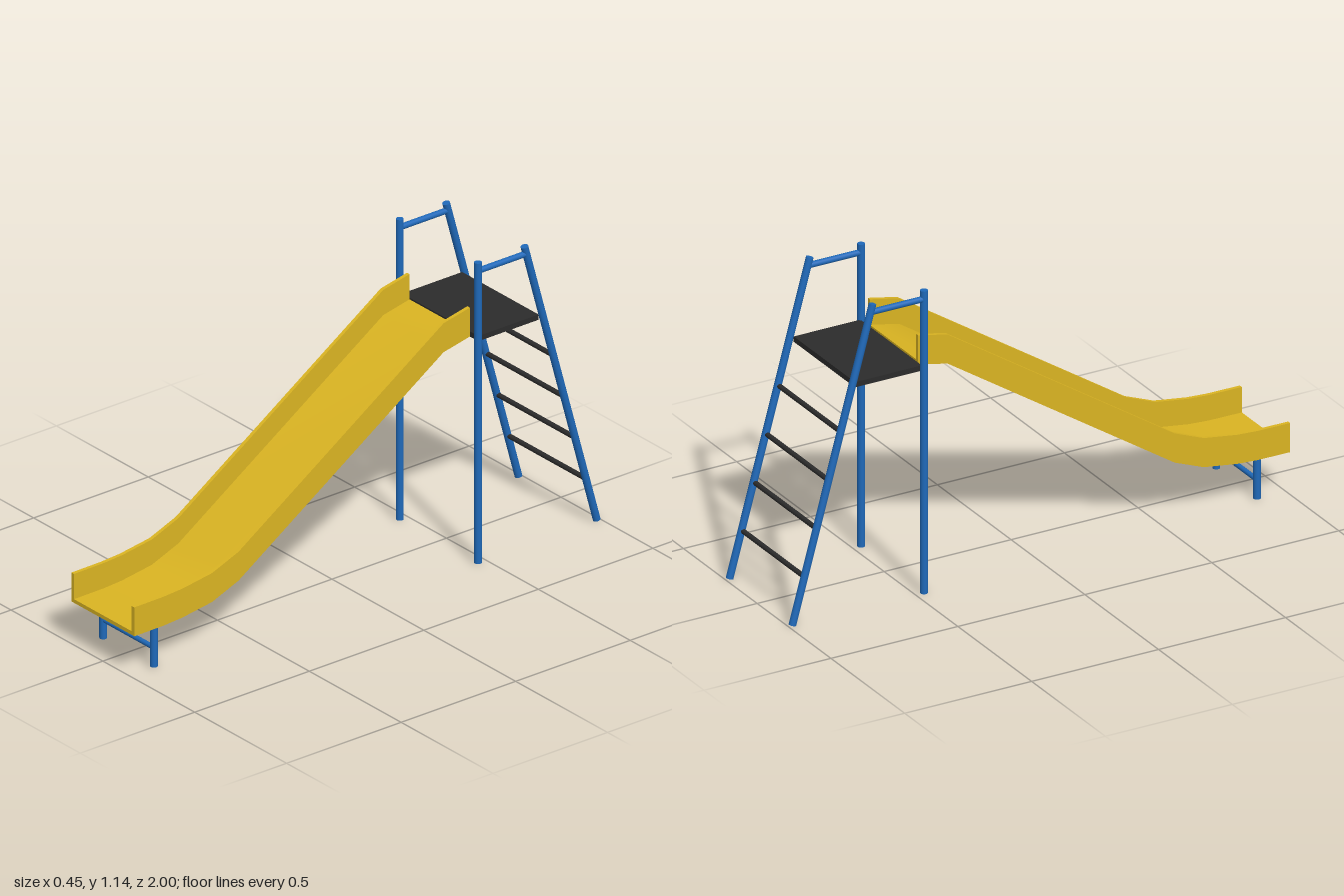
import * as THREE from 'three';
import { toCreasedNormals } from 'three/addons/utils/BufferGeometryUtils.js';

export function createModel() {
  const model = new THREE.Group();
  model.name = 'playgroundSlide';

  const material = (name, color) => {
    const m = new THREE.MeshStandardMaterial({ color });
    m.name = name;
    return m;
  };
  const yellow = material('yellowChute', 0xdab422);
  const blue = material('blueFrame', 0x1f69b9);
  const black = material('blackSteps', 0x2c2c2c);

  const add = (name, geometry, mat) => {
    const mesh = new THREE.Mesh(geometry, mat);
    mesh.name = name;
    model.add(mesh);
    return mesh;
  };

  // Round bar between two points
  const bar = (name, from, to, radius, mat) => {
    const a = new THREE.Vector3(...from);
    const b = new THREE.Vector3(...to);
    const dir = b.clone().sub(a);
    const mesh = add(name, new THREE.CylinderGeometry(radius, radius, dir.length(), 16), mat);
    mesh.position.copy(a).add(b).multiplyScalar(0.5);
    mesh.quaternion.setFromUnitVectors(new THREE.Vector3(0, 1, 0), dir.normalize());
  };

  // Underside of the chute as [z, y], from exit to platform
  const path = [
    [1, 0.16], [0.87, 0.161], [0.79, 0.166], [0.66, 0.185],
    [0.545, 0.23], [-0.35, 0.82], [-0.465, 0.844],
  ];
  // Strip of given height along the path, extruded across x
  const chuteStrip = (name, height, width, x) => {
    const upper = path.map(([z, y]) => [z, y + height]).reverse();
    const shape = new THREE.Shape([...path, ...upper].map(([z, y]) => new THREE.Vector2(z, y)));
    const geometry = new THREE.ExtrudeGeometry(shape, { depth: width, bevelEnabled: false });
    geometry.rotateY(-Math.PI / 2).translate(x + width / 2, 0, 0);
    add(name, toCreasedNormals(geometry, 0.5), yellow);
  };
  chuteStrip('chuteFloor', 0.014, 0.316, 0);

  // Ladder slope: z of the rear rail at height y
  const railZ = (y) => -0.985 + 0.277 * y;

  for (const [side, s] of [['left', 1], ['right', -1]]) {
    const x = 0.213 * s;
    chuteStrip(side + 'ChuteWall', 0.11, 0.014, 0.164 * s);
    bar(side + 'FrontPost', [x, 0, -0.467], [x, 1.143, -0.467], 0.0135, blue);
    bar(side + 'LadderRail', [x, 0.003, railZ(0)], [x, 1.14, railZ(1.14)], 0.0135, blue);
    bar(side + 'Handrail', [x, 1.11, -0.467], [x, 1.11, railZ(1.11)], 0.011, blue);
    bar(side + 'ExitLeg', [0.138 * s, 0, 0.888], [0.138 * s, 0.165, 0.888], 0.0135, blue);
  }
  bar('exitCrossbar', [-0.138, 0.07, 0.888], [0.138, 0.07, 0.888], 0.009, blue);

  // Ladder rungs
  for (const y of [0.173, 0.344, 0.515, 0.687]) {
    bar('rung', [-0.21, y, railZ(y)], [0.21, y, railZ(y)], 0.009, black);
  }

  // Platform
  add('platform', new THREE.BoxGeometry(0.416, 0.02, 0.263), black).position.set(0, 0.848, -0.604);

  return model;
}
